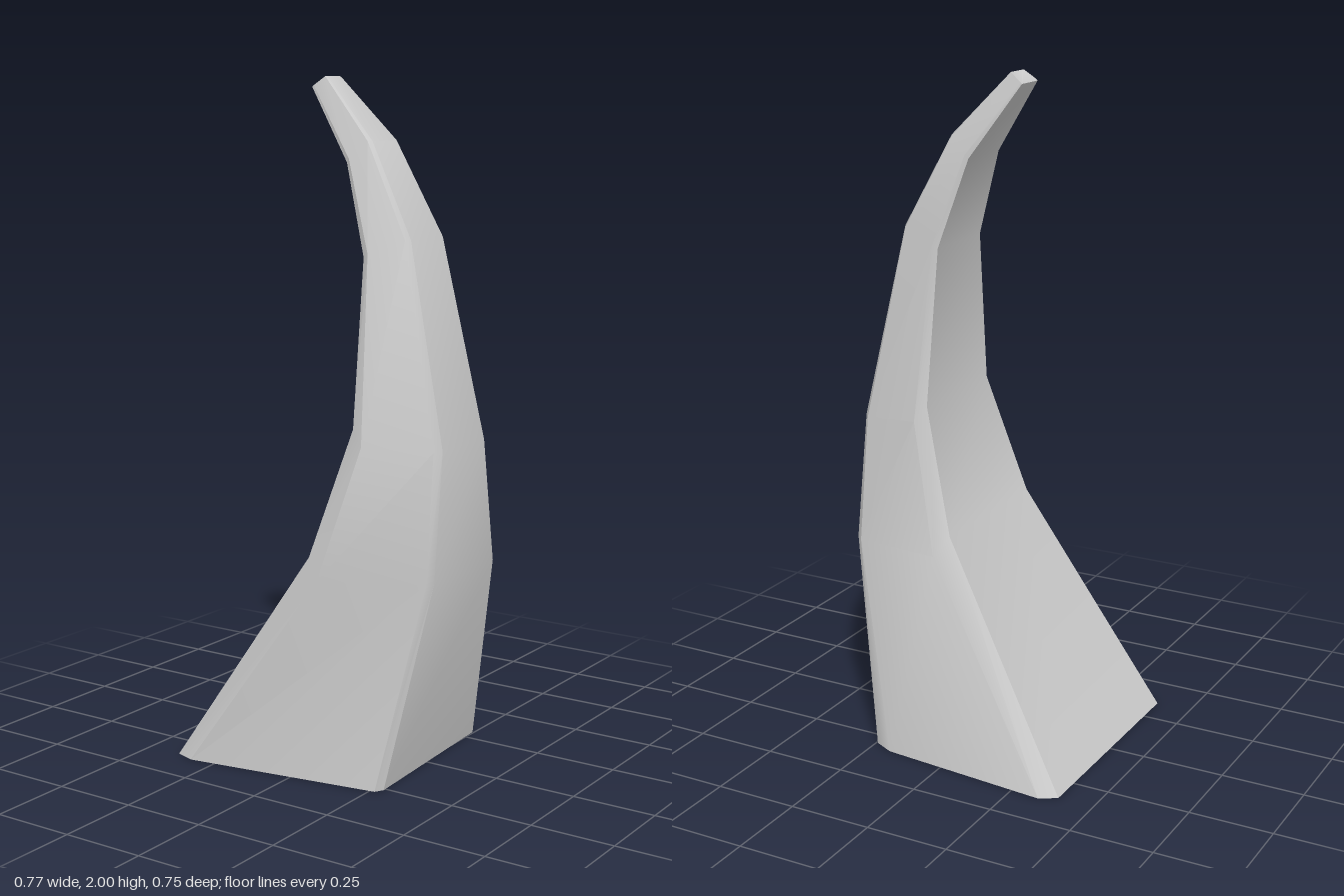
import * as THREE from 'three';
import { toCreasedNormals } from 'three/addons/utils/BufferGeometryUtils.js';

// Cross-sections from base to tip: a square with chamfered corners.
// y: heights of the inner face, inner chamfer and outer side.
// p: x, z pairs, counter-clockwise from above, starting at the inner back corner.
const SECTIONS = [
  { y: [0, 0, 0], p: [-0.39, -0.35, -0.39, 0.355, -0.33, 0.375, 0.265, 0.285, 0.28, 0.26, 0.245, -0.3, 0.185, -0.33, -0.34, -0.38] },
  { y: [0.66, 0.6, 0.6], p: [0.055, -0.185, 0.055, 0.305, 0.095, 0.325, 0.375, 0.19, 0.385, 0.165, 0.385, -0.165, 0.36, -0.19, 0.095, -0.215] },
  { y: [1.03, 0.985, 0.97], p: [0.16, -0.13, 0.165, 0.245, 0.205, 0.265, 0.37, 0.15, 0.385, 0.125, 0.385, -0.105, 0.365, -0.13, 0.19, -0.155] },
  { y: [1.5, 1.51, 1.55], p: [0.13, -0.11, 0.13, 0.14, 0.15, 0.15, 0.245, 0.105, 0.255, 0.09, 0.255, -0.08, 0.245, -0.095, 0.145, -0.115] },
  { y: [1.76, 1.77, 1.82], p: [0.04, -0.09, 0.04, 0.09, 0.05, 0.095, 0.1, 0.075, 0.11, 0.065, 0.11, -0.06, 0.1, -0.075, 0.05, -0.095] },
  { y: [1.97, 1.975, 2], p: [-0.1, -0.035, -0.1, 0.06, -0.095, 0.06, -0.063, 0.048, -0.06, 0.042, -0.06, -0.025, -0.063, -0.03, -0.095, -0.036] },
];
const HEIGHT_SLOT = [0, 0, 1, 2, 2, 2, 2, 1];

function hornGeometry() {
  const n = HEIGHT_SLOT.length;
  const last = (SECTIONS.length - 1) * n;
  const positions = [];
  const index = [];
  for (const { y, p } of SECTIONS) {
    for (let j = 0; j < n; j++) positions.push(p[2 * j], y[HEIGHT_SLOT[j]], p[2 * j + 1]);
  }
  // Sides
  for (let i = 0; i < last; i += n) {
    for (let j = 0; j < n; j++) {
      const a = i + j;
      const b = i + ((j + 1) % n);
      index.push(a, b, b + n, a, b + n, a + n);
    }
  }
  // Flat base and tip
  for (let j = 1; j < n - 1; j++) {
    index.push(0, j + 1, j);
    index.push(last, last + j, last + j + 1);
  }
  const geometry = new THREE.BufferGeometry();
  geometry.setAttribute('position', new THREE.Float32BufferAttribute(positions, 3));
  geometry.setIndex(index);
  return toCreasedNormals(geometry, 0.5);
}

export function createModel() {
  const group = new THREE.Group();
  group.name = 'curvedHorn';
  const horn = new THREE.Mesh(hornGeometry(), new THREE.MeshStandardMaterial({ color: 0xcccccc }));
  horn.name = 'horn';
  group.add(horn);
  return group;
}
